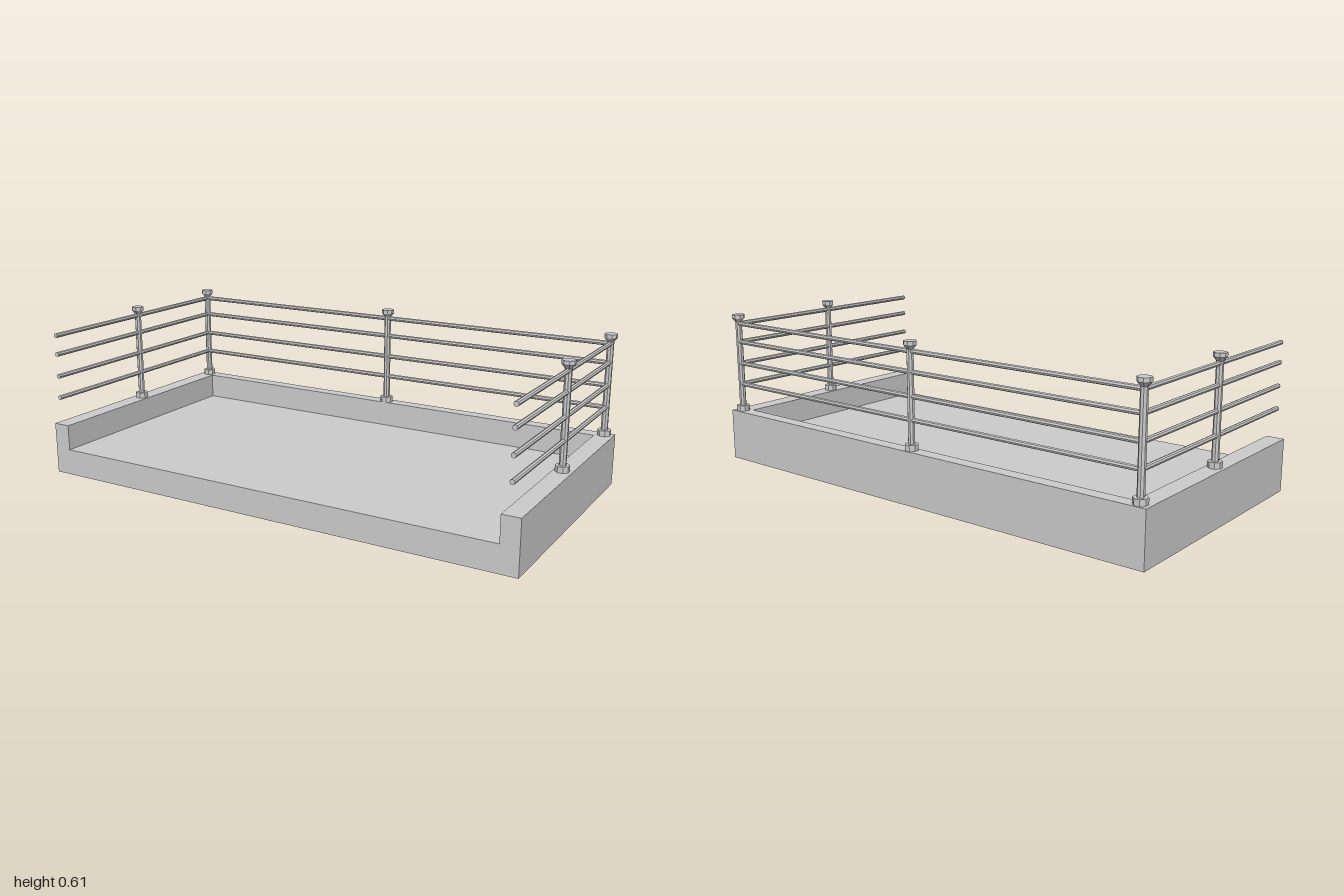
import * as THREE from 'three';

const HALF_X = 1, HALF_Z = 0.508;
const FLOOR_Y = 0.105, KERB_Y = 0.207;
const INNER_X = 0.93, INNER_Z = -0.455;
const RAIL_X = 0.963, BACK_Z = -0.479, MID_Z = 0.016;
const RAIL_HEIGHTS = [0.32, 0.408, 0.498, 0.574];

const material = new THREE.MeshStandardMaterial({ color: 0xcccccc, flatShading: true });

function addMesh(parent, name, geometry) {
  const mesh = new THREE.Mesh(geometry, material);
  mesh.name = name;
  parent.add(mesh);
  return mesh;
}

// Floor slab with raised side kerbs, closed by a kerb along the back
function createPlatform() {
  const platform = new THREE.Group();
  platform.name = 'platform';
  const profile = new THREE.Shape([
    [-HALF_X, 0], [HALF_X, 0], [HALF_X, KERB_Y], [INNER_X, KERB_Y],
    [INNER_X, FLOOR_Y], [-INNER_X, FLOOR_Y], [-INNER_X, KERB_Y], [-HALF_X, KERB_Y],
  ].map(([x, y]) => new THREE.Vector2(x, y)));
  const slab = new THREE.ExtrudeGeometry(profile, { depth: HALF_Z - INNER_Z, bevelEnabled: false });
  addMesh(platform, 'floorAndSideKerbs', slab.translate(0, 0, INNER_Z));

  const depth = INNER_Z + HALF_Z;
  const kerb = addMesh(platform, 'backKerb', new THREE.BoxGeometry(2 * HALF_X, KERB_Y, depth));
  kerb.position.set(0, KERB_Y / 2, INNER_Z - depth / 2);
  return platform;
}

// Octagonal post with a foot collar and a flared cap
function createPost(x, z) {
  const profile = [
    [0, 0.207], [0.0265, 0.207], [0.0265, 0.23], [0.0135, 0.23],
    [0.0135, 0.582], [0.0255, 0.597], [0.0255, 0.612], [0, 0.612],
  ].map(([r, y]) => new THREE.Vector2(r, y));
  const post = new THREE.Mesh(new THREE.LatheGeometry(profile, 8, Math.PI / 8), material);
  post.name = 'post';
  post.position.set(x, 0, z);
  return post;
}

// Straight rail between two points
function addRail(parent, name, from, to) {
  const direction = to.clone().sub(from);
  const rail = addMesh(parent, name, new THREE.CylinderGeometry(0.0095, 0.0095, direction.length(), 8));
  rail.position.copy(from).add(to).multiplyScalar(0.5);
  rail.quaternion.setFromUnitVectors(new THREE.Vector3(0, 1, 0), direction.normalize());
}

export function createModel() {
  const model = new THREE.Group();
  model.name = 'railedPlatform';
  model.add(createPlatform());

  // Posts: three along the back, one midway on each side
  const posts = new THREE.Group();
  posts.name = 'posts';
  for (const x of [-RAIL_X, 0, RAIL_X]) posts.add(createPost(x, BACK_Z));
  for (const x of [-RAIL_X, RAIL_X]) posts.add(createPost(x, MID_Z));
  model.add(posts);

  // Rails: four levels on the back and both sides
  const rails = new THREE.Group();
  rails.name = 'rails';
  for (const y of RAIL_HEIGHTS) {
    addRail(rails, 'backRail', new THREE.Vector3(-RAIL_X, y, BACK_Z), new THREE.Vector3(RAIL_X, y, BACK_Z));
    for (const side of [-1, 1]) {
      const x = side * RAIL_X;
      addRail(rails, side > 0 ? 'leftRail' : 'rightRail',
        new THREE.Vector3(x, y, BACK_Z), new THREE.Vector3(x, y, HALF_Z));
    }
  }
  model.add(rails);
  return model;
}
